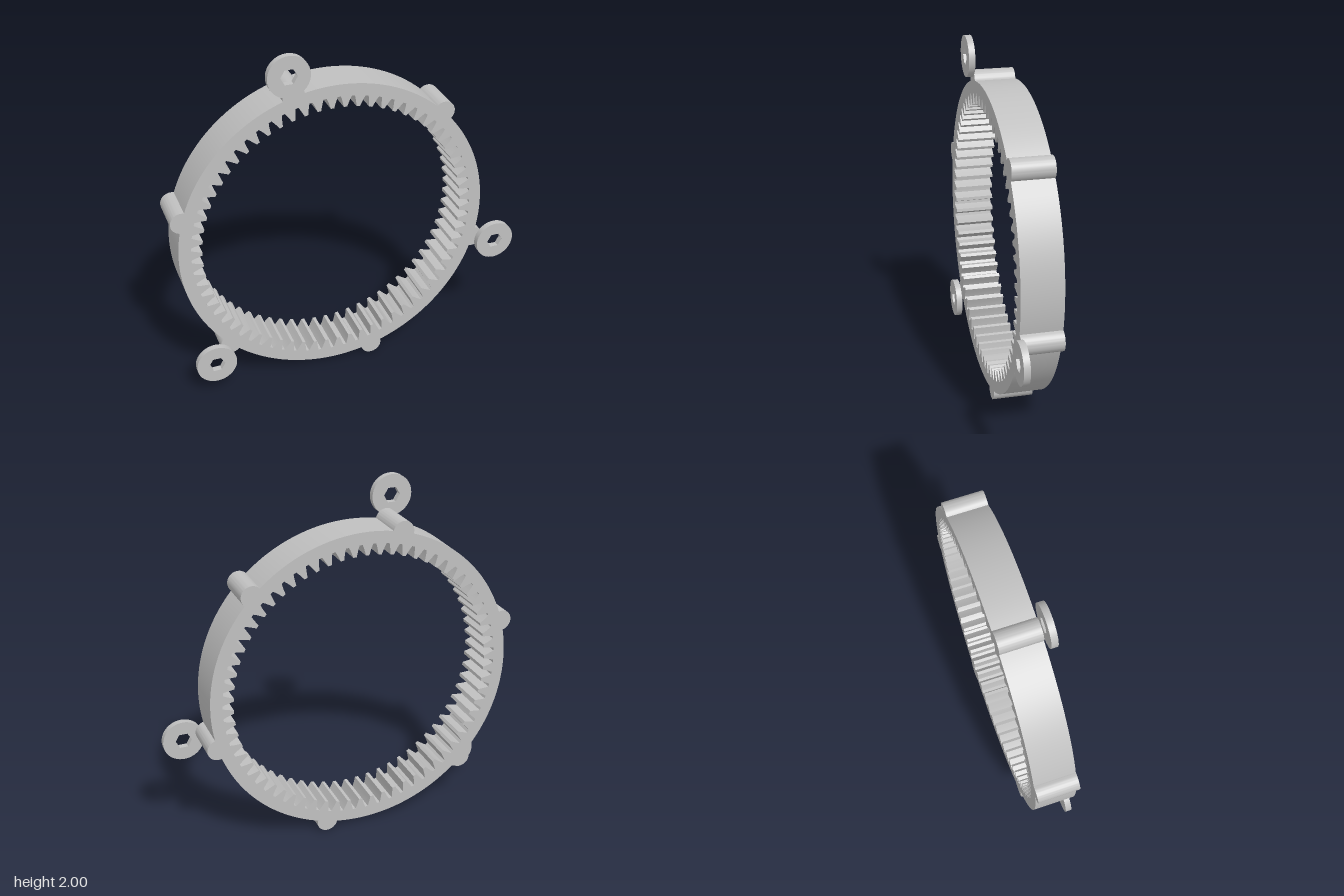
import * as THREE from 'three';
import { toCreasedNormals } from 'three/addons/utils/BufferGeometryUtils.js';

const CX = -0.0955, CY = 0.9125;      // ring centre
const R = 0.8735, BUMP = 0.06;        // outer radius, lug radius
const TIP = 0.745, ROOT = 0.806;      // tooth radii
const TEETH = 66;
const BACK = -0.13, FACE = 0.097, FRONT = 0.132;
const rad = THREE.MathUtils.degToRad;
const polar = (r, a) => new THREE.Vector2(r * Math.cos(a), r * Math.sin(a));

function extrude(shape, depth, curveSegments) {
  const geo = new THREE.ExtrudeGeometry(shape, { depth, bevelEnabled: false, curveSegments });
  return toCreasedNormals(geo, rad(25));
}

// Outer outline: circle arcs joined by six rounded lugs
function ringShape() {
  const shape = new THREE.Shape();
  const half = 2 * Math.asin(BUMP / 2 / R);
  for (let i = 0; i < 6; i++) {
    const t = rad(44.5 + 60 * i), c = polar(R, t);
    const sweep = Math.PI / 2 + half / 2;
    shape.absarc(c.x, c.y, BUMP, t - sweep, t + sweep, false);
    shape.absarc(0, 0, R, t + half, t + rad(60) - half, false);
  }
  shape.closePath();

  // Inner outline: one tooth profile repeated around the bore
  const pitch = 2 * Math.PI / TEETH;
  const profile = [
    [-0.39, ROOT], [-0.31, 0.79], [-0.22, 0.768], [-0.13, TIP],
    [0.13, TIP], [0.22, 0.768], [0.31, 0.79], [0.39, ROOT],
  ];
  const start = rad(88.3) + pitch / 2;
  const points = [];
  for (let i = 0; i < TEETH; i++)
    for (const [f, r] of profile) points.push(polar(r, start + (i + f) * pitch));
  shape.holes.push(new THREE.Path(points.reverse()));
  return shape;
}

// Round mounting tab with a hexagonal through hole
function tabShape() {
  const shape = new THREE.Shape();
  shape.absarc(0, 0, 0.114, 0, Math.PI * 2, false);
  const hex = [];
  for (let i = 0; i < 6; i++) hex.push(polar(0.046, -i * Math.PI / 3));
  shape.holes.push(new THREE.Path(hex));
  return shape;
}

export function createModel() {
  const model = new THREE.Group();
  model.name = 'internalRingGear';
  const metal = new THREE.MeshStandardMaterial({ color: 0xc0c0c0 });
  metal.name = 'grey';

  const ring = new THREE.Mesh(extrude(ringShape(), FACE - BACK, 14), metal);
  ring.name = 'toothedRing';
  ring.position.set(CX, CY, BACK);
  model.add(ring);

  // Three tabs in front of every second lug
  const tabGeo = extrude(tabShape(), FRONT - FACE, 24);
  for (let i = 0; i < 3; i++) {
    const p = polar(1.0075, rad(104.5 + 120 * i));
    const tab = new THREE.Mesh(tabGeo, metal);
    tab.name = 'mountingTab' + (i + 1);
    tab.position.set(CX + p.x, CY + p.y, FACE);
    model.add(tab);
  }
  return model;
}
